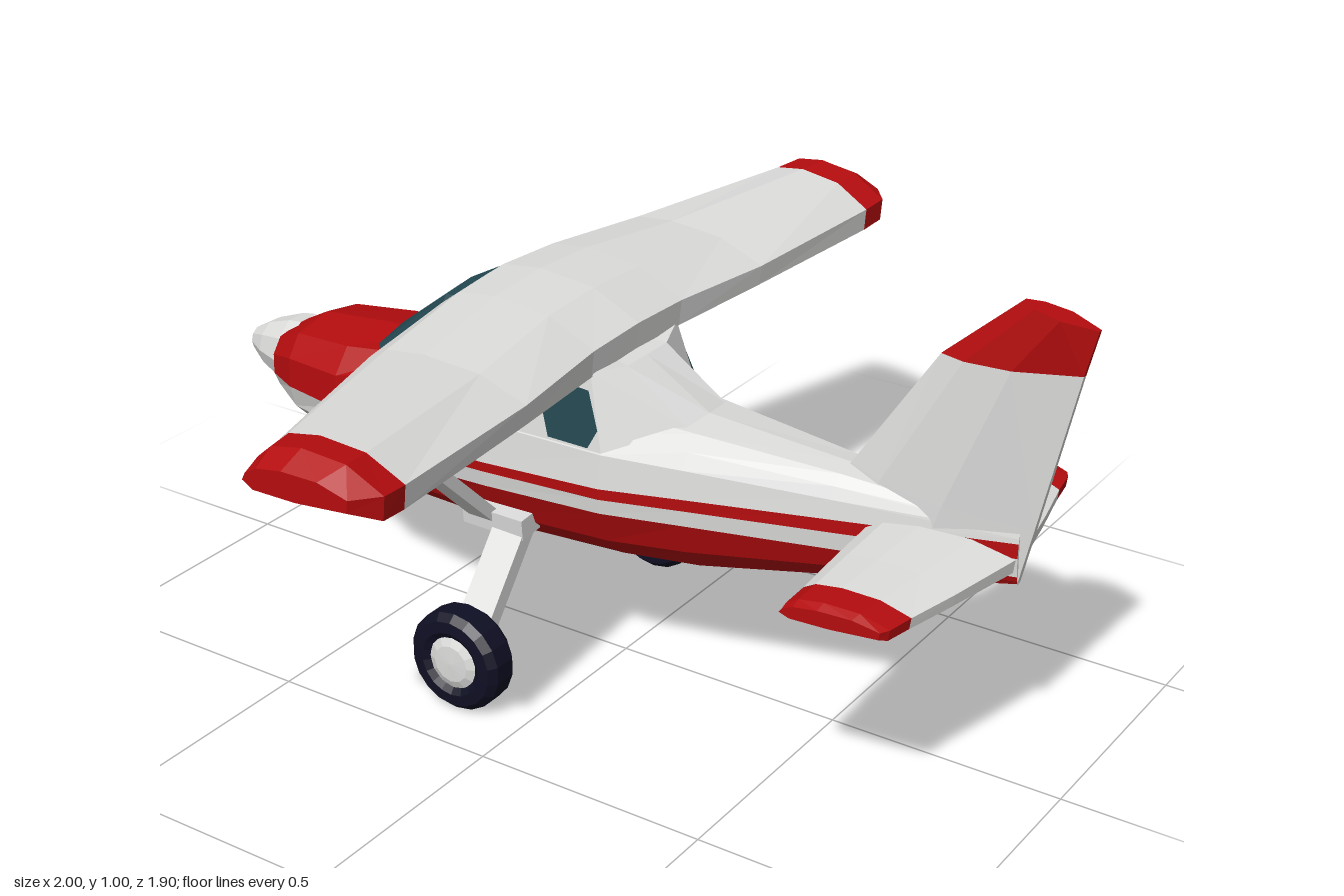
import * as THREE from 'three';

const paint = (color, side = THREE.FrontSide) => new THREE.MeshStandardMaterial({ color, side });
const MATS = {
  white: paint(0xdcdcdb),
  red: paint(0xb40c0e),
  glass: paint(0x22464f, THREE.DoubleSide),
  tyre: paint(0x0f0f24),
};
for (const k in MATS) MATS[k].name = k;
const V = (x, y, z) => new THREE.Vector3(x, y, z);

// Flat-faceted mesh from a list of triangle corners
function facets(name, mat, pts) {
  const g = new THREE.BufferGeometry().setFromPoints(pts);
  g.computeVertexNormals();
  const m = new THREE.Mesh(g, MATS[mat]);
  m.name = name;
  return m;
}

// Skin a series of closed rings, sorting faces by colour; ends are capped
function loft(name, rings, colour) {
  const group = new THREE.Group(), lists = {}, tri = new THREE.Triangle();
  group.name = name;
  const add = (c, a, b, d) => {
    if (tri.set(a, b, d).getArea() > 1e-7) (lists[c] ??= []).push(a, b, d);
  };
  const n = rings[0].length, last = rings.length - 1;
  for (let i = 0; i < last; i++) for (let j = 0; j < n; j++) {
    const k = (j + 1) % n, a = rings[i], b = rings[i + 1], c = colour(i, j);
    add(c, a[j], b[j], b[k]);
    add(c, a[j], b[k], a[k]);
  }
  for (const [r, row] of [[0, 0], [last, last - 1]]) {
    const ring = rings[r], mid = V(0, 0, 0);
    ring.forEach(p => mid.addScaledVector(p, 1 / n));
    for (let j = 0; j < n; j++) {
      const k = (j + 1) % n, c = name === 'fuselage' ? 'white' : colour(row, j);
      r === 0 ? add(c, mid, ring[j], ring[k]) : add(c, mid, ring[k], ring[j]);
    }
  }
  for (const c in lists) group.add(facets(`${name} ${c}`, c, lists[c]));
  return group;
}

// Close a half outline by mirroring it across z = 0
const mirrorRing = half => [...half, ...half.slice(1, -1).reverse().map(p => V(p.x, p.y, -p.z))];

// Fuselage stations: x, bottom, top, half width, height of widest point
const BODY = [
  [-0.855, 0.395, 0.545, 0.10, 0.47], [-0.78, 0.35, 0.585, 0.135, 0.47],
  [-0.63, 0.28, 0.60, 0.163, 0.46], [-0.46, 0.25, 0.61, 0.18, 0.46],
  [-0.23, 0.245, 0.61, 0.183, 0.46], [0.05, 0.263, 0.61, 0.174, 0.46],
  [0.22, 0.28, 0.60, 0.14, 0.465], [0.52, 0.345, 0.583, 0.083, 0.475],
  [0.88, 0.43, 0.55, 0.015, 0.49],
];

function fuselage() {
  const rings = BODY.map(([x, bot, top, w, mid]) => {
    // heights of the paint lines at this station
    const belly = Math.max(0.405 + 0.05 * x, bot + 0.02);
    const low = Math.max(0.437 + 0.04 * x + 0.02 * Math.max(0, x), belly + 0.01);
    const high = low + (x <= -0.63 ? 0 : 0.023 + 0.008 * x);
    const sill = x <= -0.63 ? 0.457 : x < 0.8 ? 0.535 : 0.53;
    const mix = (a, b, t) => a + (b - a) * t;
    const ys = [bot, mix(bot, belly, 0.12), mix(bot, belly, 0.5), belly, low, high,
      sill, mix(sill, top, 0.5), mix(sill, top, 0.87), top];
    return mirrorRing(ys.map(y => {
      const n = y > mid ? 3 : 2.2;
      const t = Math.min(1, y > mid ? (y - mid) / (top - mid) : (mid - y) / (mid - bot));
      return V(x, y, w * Math.pow(1 - Math.pow(t, n), 1 / n));
    }));
  });
  return loft('fuselage', rings, (i, j) => {
    const m = Math.min(j, 17 - j);
    const red = m < 3 || m === 4 || (m >= 6 && BODY[i + 1][0] <= -0.45);
    return red ? 'red' : 'white';
  });
}

// Cabin with wrap-around windshield
const sideZ = y => 0.178 - 0.15 * (y - 0.535);
function cabin() {
  const lower = [[-0.57, 0.61, 0], [-0.555, 0.6, 0.1], [-0.455, 0.535, sideZ(0.535)],
    [0.06, 0.545, sideZ(0.545)], [0.19, 0.595, 0.07], [0.2, 0.6, 0]];
  const upper = [[-0.385, 0.755, 0], [-0.38, 0.75, 0.09], [-0.36, 0.72, sideZ(0.72)],
    [0.02, 0.7, sideZ(0.7)], [0.05, 0.69, 0.07], [0.05, 0.69, 0]];
  const rings = [lower, upper].map(r => mirrorRing(r.map(([x, y, z]) => V(x, y, -z))));
  return loft('cabin', rings, (i, j) => (Math.min(j, 9 - j) < 2 ? 'glass' : 'white'));
}

function sideWindow(name, outline, s) {
  const p = outline.map(([x, y]) => V(x, y, s * (sideZ(y) + 0.004)));
  if (s < 0) p.reverse();
  const tris = [];
  for (let i = 1; i < p.length - 1; i++) tris.push(p[0], p[i], p[i + 1]);
  return facets(name, 'glass', tris);
}

// Lifting surface across the span; stations: z, leading x, trailing x, bottom, top
const FOIL = [[0, 0.4], [0.03, 0.65], [0.14, 0.9], [0.38, 1], [0.72, 0.9], [1, 0.5],
  [0.985, 0.05], [0.5, 0], [0.1, 0.12]];
function spanSurface(name, half, rake, redFrom) {
  const all = [...half.slice(1).reverse().map(([z, ...r]) => [-z, ...r]), ...half];
  const rings = all.map(([z, le, te, yb, yt]) =>
    FOIL.map(([u, v]) => V(le + (te - le) * u, yb + (yt - yb) * v, z * (1 - rake * u))));
  return loft(name, rings, i =>
    Math.min(Math.abs(all[i][0]), Math.abs(all[i + 1][0])) >= redFrom ? 'red' : 'white');
}

// Fin levels: leading x, y, trailing x, y, half thickness
function tailFin() {
  const section = [[0, 0.15], [0.2, 0.8], [0.55, 1], [1, 0.15]];
  const levels = [[0.5, 0.56, 0.88, 0.435, 0.045], [0.52, 0.585, 0.905, 0.55, 0.043],
    [0.695, 0.855, 0.975, 0.878, 0.034], [0.85, 0.995, 0.997, 0.97, 0.027]];
  const rings = levels.map(([lx, ly, tx, ty, t]) => {
    const side = s => section.map(([u, w]) => V(lx + (tx - lx) * u, ly + (ty - ly) * u, s * t * w));
    return [...side(-1), ...side(1).reverse()];
  });
  return loft('tail fin', rings, i => (i === 2 ? 'red' : 'white'));
}

// Flat bar between two points
function bar(name, a, b, width, thick) {
  const m = new THREE.Mesh(new THREE.BoxGeometry(width, thick, a.distanceTo(b)), MATS.white);
  m.position.lerpVectors(a, b, 0.5);
  m.lookAt(b);
  m.name = name;
  return m;
}

// Faceted turned part
function turned(name, mat, profile, sides) {
  const pts = profile.map(([r, y]) => new THREE.Vector2(r, y));
  const g = new THREE.LatheGeometry(pts, sides).toNonIndexed();
  g.computeVertexNormals();
  const m = new THREE.Mesh(g, MATS[mat]);
  m.name = name;
  return m;
}

export function createModel() {
  const plane = new THREE.Group();
  plane.name = 'light aircraft';
  plane.add(fuselage(), cabin(), tailFin());

  plane.add(spanSurface('wing', [
    [0, -0.355, 0.03, 0.69, 0.815], [0.16, -0.345, 0.03, 0.685, 0.81],
    [0.43, -0.31, 0.06, 0.693, 0.79], [0.835, -0.19, 0.09, 0.697, 0.805],
    [0.9, -0.172, 0.095, 0.703, 0.81], [0.952, -0.155, 0.055, 0.73, 0.785]], 0.032, 0.83));
  plane.add(spanSurface('tailplane', [
    [0, 0.58, 0.88, 0.455, 0.52], [0.2, 0.59, 0.842, 0.455, 0.51],
    [0.325, 0.6, 0.815, 0.455, 0.506], [0.39, 0.603, 0.805, 0.457, 0.505],
    [0.41, 0.606, 0.795, 0.465, 0.497]], 0.07, 0.32));

  const spinner = turned('nose spinner', 'white', [[0.085, -0.02], [0.08, 0.015], [0.056, 0.08], [0.027, 0.128], [0, 0.145]], 10);
  spinner.rotation.z = Math.PI / 2;
  spinner.position.set(-0.855, 0.475, 0);
  plane.add(spinner);

  for (const s of [1, -1]) {
    const side = s > 0 ? 'left' : 'right';
    plane.add(
      sideWindow(`${side} door window`, [[-0.375, 0.545], [-0.14, 0.552], [-0.125, 0.58], [-0.15, 0.685], [-0.305, 0.692]], s),
      sideWindow(`${side} rear window`, [[-0.065, 0.55], [0.03, 0.55], [0.05, 0.59], [0.022, 0.665], [-0.09, 0.672], [-0.1, 0.65]], s),
      bar(`${side} wing strut`, V(-0.23, 0.32, s * 0.165), V(-0.23, 0.715, s * 0.57), 0.06, 0.026),
      bar(`${side} strut fairing`, V(-0.2, 0.33, s * 0.13), V(-0.2, 0.325, s * 0.19), 0.15, 0.045),
      bar(`${side} landing gear leg`, V(-0.165, 0.33, s * 0.15), V(-0.16, 0.11, s * 0.335), 0.075, 0.035));

    // Wheel
    const wheel = new THREE.Group();
    wheel.name = `${side} wheel`;
    wheel.add(
      turned('tyre', 'tyre', [[0.056, -0.032], [0.07, -0.042], [0.094, -0.04], [0.108, -0.024],
        [0.108, 0.024], [0.094, 0.04], [0.07, 0.042], [0.056, 0.032]], 18),
      turned('hub', 'white', [[0, -0.042], [0.04, -0.04], [0.058, -0.032], [0.058, 0.032], [0.04, 0.04], [0, 0.042]], 12));
    wheel.rotation.x = Math.PI / 2;
    wheel.position.set(-0.153, 0.108, s * 0.36);
    plane.add(wheel);
  }
  return plane;
}
